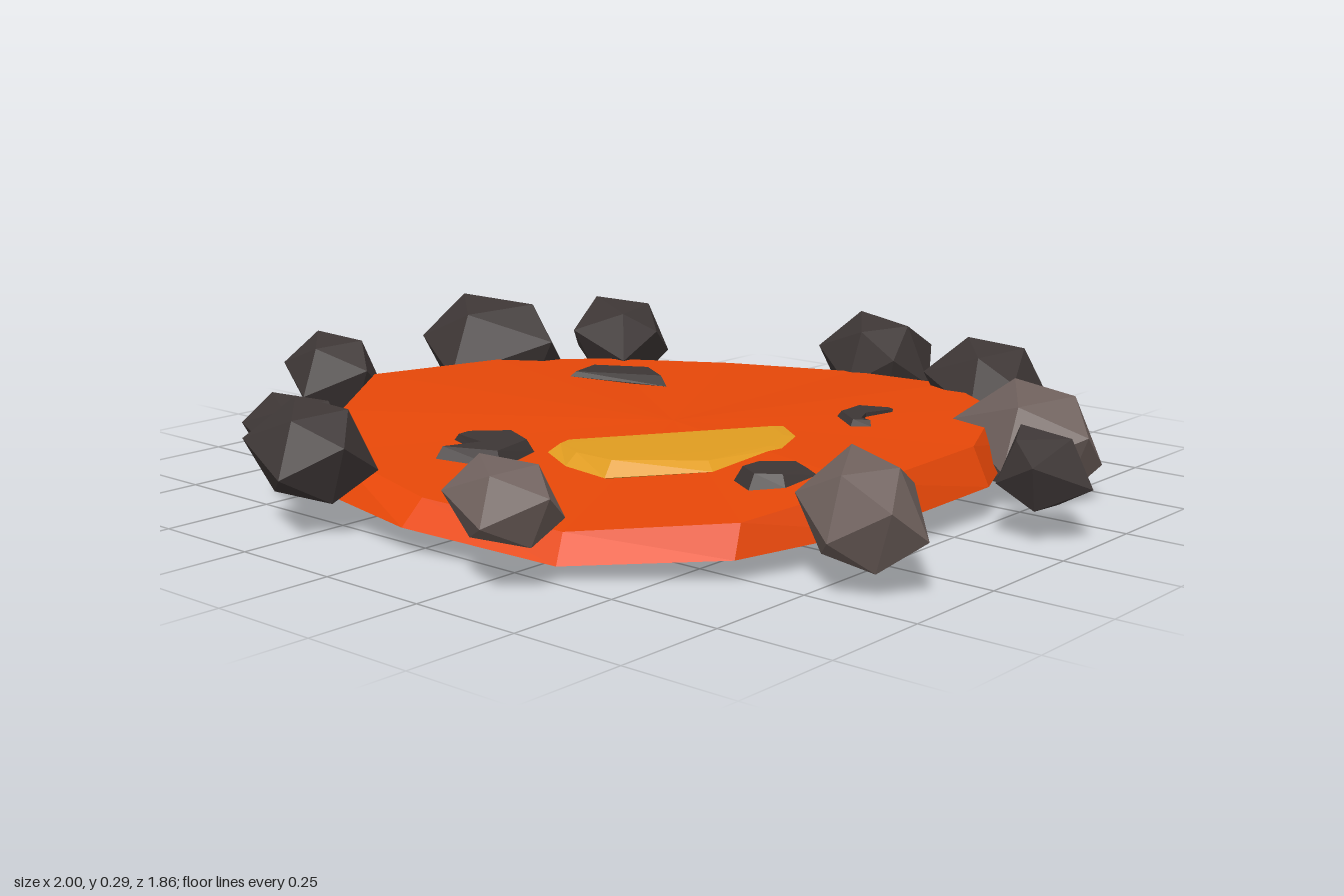
import * as THREE from 'three';
import { ConvexGeometry } from 'three/addons/geometries/ConvexGeometry.js';

const mat = (name, color) => {
  const m = new THREE.MeshStandardMaterial({ color, flatShading: true });
  m.name = name;
  return m;
};

// Pool rim corners, clockwise from the back: [x, y, z]
const TOP_RIM = [
  [0, .135, -.68], [.33, .16, -.61], [.57, .165, -.43], [.7, .155, -.14], [.69, .145, .22],
  [.6, .11, .5], [.33, .085, .7], [0, .105, .755], [-.33, .135, .7], [-.535, .16, .505],
  [-.74, .17, .23], [-.7, .155, -.14], [-.57, .135, -.4], [-.33, .125, -.6],
];
const BOTTOM_RIM = [
  [0, .085, -.71], [.36, .09, -.65], [.6, .085, -.48], [.74, .075, -.14], [.72, .06, .24],
  [.61, .045, .53], [.35, .03, .74], [0, .055, .81], [-.35, .065, .75], [-.57, .055, .535],
  [-.78, .06, .23], [-.74, .07, -.17], [-.61, .075, -.42], [-.36, .08, -.64],
];
const TOP_MID = [0, .129, 0], BOTTOM_MID = [0, .065, 0];

// Height of the faceted lava surface at a point
function surfaceY(x, z) {
  for (let i = 0; i < TOP_RIM.length; i++) {
    const a = TOP_RIM[i], b = TOP_RIM[(i + 1) % TOP_RIM.length];
    const d = a[0] * b[2] - b[0] * a[2];
    const u = (x * b[2] - b[0] * z) / d, v = (a[0] * z - x * a[2]) / d;
    if (u >= 0 && v >= 0) return TOP_MID[1] + u * (a[1] - TOP_MID[1]) + v * (b[1] - TOP_MID[1]);
  }
  return TOP_MID[1];
}

// Skin a stack of rings (lowest first) and close both ends;
// mids, if given, are the centre points of the bottom and top fans
function loft(rings, mids) {
  const out = [], n = rings[0].length;
  const tri = (...pts) => pts.forEach(p => out.push(...p));
  for (let r = 0; r + 1 < rings.length; r++) {
    for (let i = 0; i < n; i++) {
      const j = (i + 1) % n, lo = rings[r], hi = rings[r + 1];
      tri(lo[i], hi[i], hi[j]);
      tri(lo[i], hi[j], lo[j]);
    }
  }
  [rings[0], rings[rings.length - 1]].forEach((ring, end) => {
    const faces = mids
      ? ring.map((p, i) => [mids[end], p, ring[(i + 1) % n]])
      : THREE.ShapeUtils.triangulateShape(ring.map(p => new THREE.Vector2(p[0], p[2])), [])
        .map(f => f.map(k => ring[k]));
    for (const [a, b, c] of faces) {
      const up = (b[2] - a[2]) * (c[0] - a[0]) - (b[0] - a[0]) * (c[2] - a[2]) > 0;
      if (up === (end === 1)) tri(a, b, c); else tri(a, c, b);
    }
  });
  const g = new THREE.BufferGeometry();
  g.setAttribute('position', new THREE.Float32BufferAttribute(out, 3));
  g.computeVertexNormals();
  return g;
}

const centre = outline => [0, 1].map(k => outline.reduce((s, p) => s + p[k], 0) / outline.length);

// A level-topped piece floating in the lava; its top shrinks toward the anchor point
// and its underside tapers toward the middle
function floatingPiece(outline, topY, inset, depth, taper, anchor = centre(outline)) {
  const ring = (scale, [cx, cz], height) => outline.map(([x, z]) => {
    const px = cx + (x - cx) * scale, pz = cz + (z - cz) * scale;
    return [px, height(surfaceY(px, pz)), pz];
  });
  return loft([
    ring(taper, centre(outline), y => y - depth),
    ring(1, anchor, y => y),
    ring(inset, anchor, y => Math.max(topY, y + .003)),
  ]);
}

// Faceted boulder: a zigzag waist along the outline with a small triangle above and below
function boulder(outline, y0, y1) {
  const [cx, cz] = centre(outline), mid = (y0 + y1) / 2, h = y1 - y0;
  const at = (i, scale, y) => {
    const [x, z] = outline[i % outline.length];
    return new THREE.Vector3(cx + (x - cx) * scale, y, cz + (z - cz) * scale);
  };
  const points = outline.map((p, i) => at(i, 1, mid + (i % 2 ? .15 : -.15) * h));
  for (let k = 0; k < 3; k++) {
    points.push(at(2 * k, .57, y1 - .06 * k * h), at(2 * k + 1, .57, y0 + .06 * k * h));
  }
  return new ConvexGeometry(points);
}

// Boulders: outline from above as [x, z], bottom, top
const DARK_BOULDERS = [
  [[[-.14, -.855], [.07, -.925], [.155, -.79], [.12, -.685], [.005, -.655], [-.14, -.73]], .02, .26],
  [[[.29, -.69], [.365, -.79], [.535, -.73], [.525, -.58], [.445, -.525], [.285, -.57]], .05, .265],
  [[[.78, -.13], [.9, -.205], [.995, -.115], [.915, -.015], [.82, -.035]], .06, .225],
  [[[-.385, .78], [-.29, .7], [-.145, .74], [-.135, .835], [-.225, .93], [-.36, .91]], .06, .27],
  [[[-.555, .725], [-.48, .635], [-.34, .635], [-.31, .695], [-.395, .8], [-.525, .785]], .075, .24],
  [[[-1, .22], [-.905, .125], [-.77, .175], [-.75, .245], [-.86, .35], [-.985, .305]], .045, .25],
  [[[-.955, -.2], [-.825, -.325], [-.635, -.315], [-.605, -.235], [-.78, -.055], [-.92, -.09]], .015, .295],
  [[[-.76, -.495], [-.68, -.635], [-.535, -.6], [-.505, -.52], [-.52, -.41], [-.68, -.395]], .06, .27],
];
const PALE_BOULDERS = [
  [[[.565, -.45], [.715, -.495], [.845, -.42], [.855, -.34], [.725, -.215], [.535, -.315]], 0, .245],
  [[[.695, .3], [.825, .26], [.945, .385], [.92, .47], [.81, .515], [.695, .46], [.66, .38]], .035, .255],
  [[[.2, .835], [.285, .735], [.4, .765], [.42, .825], [.34, .925], [.225, .91]], .08, .25],
];

// Crust fragments: outline, top height, inset, depth, underside taper
const CRUST = [
  [[[-.485, -.25], [-.35, -.325], [-.245, -.26], [-.46, -.15]], .155, .88, .085, .5],
  [[[.295, -.295], [.37, -.325], [.385, -.3], [.36, -.235], [.385, -.18], [.42, -.17], [.38, -.15], [.3, -.21]], .16, .85, .03, .8],
  [[[.42, .23], [.49, .17], [.56, .21], [.55, .3], [.49, .34], [.42, .3]], .152, .78, .03, .8],
  [[[-.15, .345], [-.05, .39], [-.02, .52], [-.155, .575], [-.12, .48], [-.22, .46], [-.225, .42]], .148, .85, .03, .8],
];

export function createModel() {
  const lava = mat('lava orange', 0xe64708);
  const hot = mat('hot yellow', 0xe09c20);
  const dark = mat('dark rock', 0x3d3635);
  const pale = mat('pale rock', 0x6e605c);

  const model = new THREE.Group();
  model.name = 'lavaPool';
  const add = (name, geometry, material) => {
    const mesh = new THREE.Mesh(geometry, material);
    mesh.name = name;
    model.add(mesh);
  };

  // Uneven lava slab
  add('lavaSlab', loft([BOTTOM_RIM, TOP_RIM], [BOTTOM_MID, TOP_MID]), lava);

  // Glowing patch, bevelled on its curved side only
  add('hotPatch', floatingPiece([
    [.25, -.08], [.33, -.02], [.37, .08], [.34, .27], [.17, .41], [.06, .41], [-.03, .37], [-.04, .33],
  ], .137, .9, .02, .8, [.105, .125]), hot);

  CRUST.forEach((c, i) => add(`crustFragment${i + 1}`, floatingPiece(...c), dark));

  // Ring of boulders
  DARK_BOULDERS.forEach((b, i) => add(`darkBoulder${i + 1}`, boulder(...b), dark));
  PALE_BOULDERS.forEach((b, i) => add(`paleBoulder${i + 1}`, boulder(...b), pale));

  return model;
}
